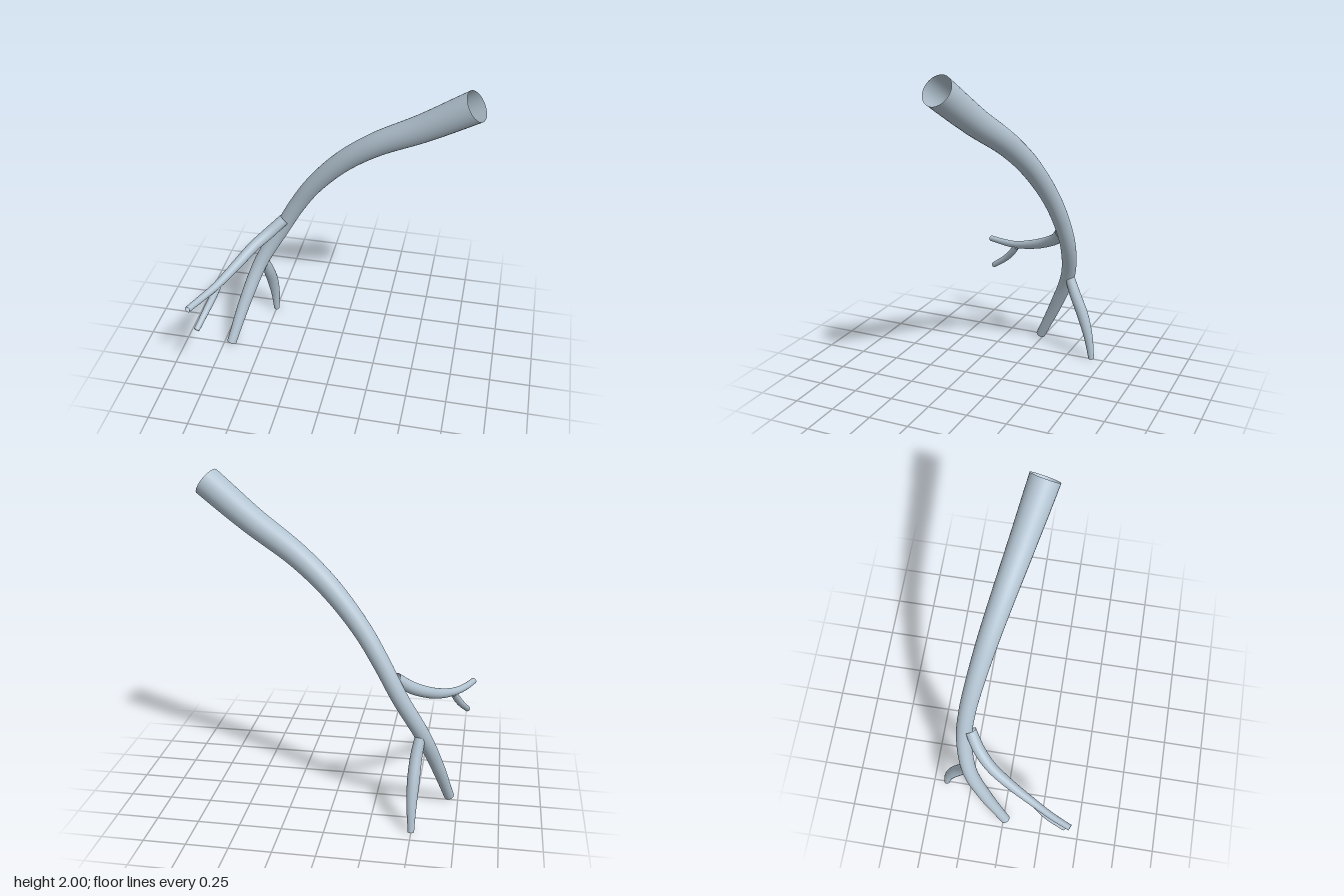
import * as THREE from 'three';

const bark = new THREE.MeshStandardMaterial({ color: 0xb2c3d0, side: THREE.DoubleSide });
bark.name = 'paleBlueGrey';

// Open tapered tube; each row is [x, y, z, radius]
function taperedTube(name, rows, steps, sides) {
  const path = new THREE.CatmullRomCurve3(rows.map(([x, y, z]) => new THREE.Vector3(x, y, z)));
  // radius as a smooth curve over the same parameter as the path
  const radii = new THREE.SplineCurve(rows.map((r, i) => new THREE.Vector2(i, r[3])));
  const geo = new THREE.TubeGeometry(path, steps, 1, sides, false);
  const pos = geo.attributes.position;
  const centre = new THREE.Vector3();
  const v = new THREE.Vector3();
  for (let i = 0; i <= steps; i++) {
    const t = path.getUtoTmapping(i / steps);
    path.getPoint(t, centre);
    const radius = radii.getPoint(t).y;
    for (let j = 0; j <= sides; j++) {
      const k = i * (sides + 1) + j;
      v.fromBufferAttribute(pos, k).sub(centre).multiplyScalar(radius).add(centre);
      pos.setXYZ(k, v.x, v.y, v.z);
    }
  }
  geo.computeBoundingSphere();
  const mesh = new THREE.Mesh(geo, bark);
  mesh.name = name;
  return mesh;
}

export function createModel() {
  const model = new THREE.Group();
  model.name = 'branchingTube';

  // Main stem, from the wide open end down to the narrow tip
  model.add(taperedTube('mainStem', [
    [0.76, 1.925, 0.015, 0.089],
    [0.48, 1.725, -0.058, 0.079],
    [0.2, 1.545, -0.13, 0.069],
    [0, 1.375, -0.185, 0.062],
    [-0.18, 1.165, -0.235, 0.055],
    [-0.295, 0.985, -0.265, 0.051],
    [-0.405, 0.78, -0.275, 0.048],
    [-0.535, 0.54, -0.23, 0.045],
    [-0.62, 0.3, -0.125, 0.04],
    [-0.695, 0.025, 0.012, 0.031],
  ], 90, 28));

  // Long side branch sweeping forward
  model.add(taperedTube('frontBranch', [
    [-0.375, 0.885, -0.235, 0.035],
    [-0.46, 0.81, -0.175, 0.036],
    [-0.54, 0.752, -0.09, 0.034],
    [-0.605, 0.7, 0.02, 0.031],
    [-0.695, 0.643, 0.2, 0.024],
    [-0.755, 0.627, 0.32, 0.021],
    [-0.803, 0.624, 0.432, 0.019],
  ], 50, 24));

  // Twig under the front branch
  model.add(taperedTube('frontTwig', [
    [-0.69, 0.632, 0.195, 0.021],
    [-0.712, 0.577, 0.238, 0.022],
    [-0.738, 0.52, 0.295, 0.021],
    [-0.773, 0.443, 0.4, 0.018],
  ], 30, 20));

  // Side branch curving back and down
  model.add(taperedTube('backBranch', [
    [-0.525, 0.542, -0.245, 0.031],
    [-0.508, 0.43, -0.293, 0.035],
    [-0.5, 0.3, -0.35, 0.036],
    [-0.497, 0.16, -0.392, 0.029],
    [-0.5, 0.006, -0.417, 0.019],
  ], 40, 24));

  return model;
}
